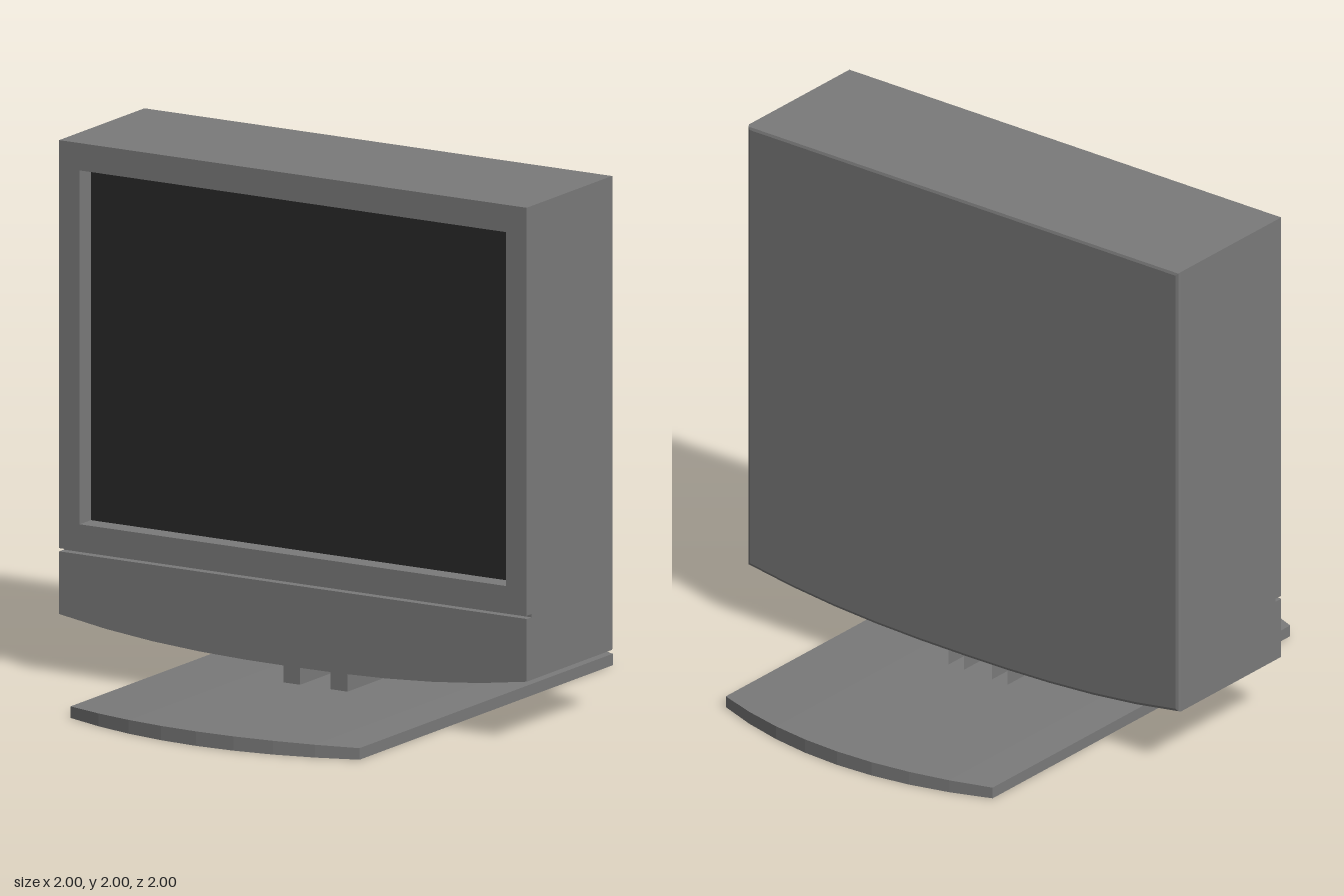
import * as THREE from 'three';

const grey = new THREE.MeshStandardMaterial({ color: 0x7a7a7a, flatShading: true });
const greyOpen = new THREE.MeshStandardMaterial({ color: 0x7a7a7a, flatShading: true, side: THREE.DoubleSide });
const dark = new THREE.MeshStandardMaterial({ color: 0x292929, flatShading: true });

const BACK = -0.265, RECESS = 0.255, GROOVE = 0.303, FRONT = 0.335;
const BEVEL = 0.014, JOIN = RECESS - BEVEL;

function add(group, name, geometry, material = grey) {
  const mesh = new THREE.Mesh(geometry, material);
  mesh.name = name;
  group.add(mesh);
  return mesh;
}

// Extrude a shape between two z planes
function slab(shape, z0, z1) {
  return new THREE.ExtrudeGeometry(shape, { depth: z1 - z0, bevelEnabled: false }).translate(0, 0, z0);
}

// Rectangle corners, counter-clockwise
function rect(x, y0, y1) {
  return [[-x, y0], [x, y0], [x, y1], [-x, y1]].map(p => new THREE.Vector2(...p));
}

// Cabinet outline with a gently bowed lower edge
function bowedOutline(top) {
  const points = [];
  for (let i = 0; i <= 10; i++) {
    const x = -1 + i * 0.2;
    points.push(new THREE.Vector2(x, 0.16 + 0.071 * Math.abs(x) ** 2.5));
  }
  points.push(new THREE.Vector2(1, top), new THREE.Vector2(-1, top));
  return new THREE.Shape(points);
}

export function createModel() {
  const model = new THREE.Group();
  model.name = 'television';

  // Cabinet with softened back edges; its front bevel sits inside the frame
  const cabinet = new THREE.ExtrudeGeometry(bowedOutline(2), {
    depth: JOIN - BACK - BEVEL, bevelThickness: BEVEL, bevelSize: BEVEL, bevelOffset: -BEVEL, bevelSegments: 2,
  }).translate(0, 0, BACK + BEVEL);
  add(model, 'cabinet', cabinet);

  // Screen frame and lower panel, separated by a groove
  const frame = new THREE.Shape(rect(1, 0.477, 2));
  frame.holes.push(new THREE.Path(rect(0.912, 0.577, 1.898).reverse()));
  add(model, 'screenFrame', slab(frame, JOIN, FRONT));
  add(model, 'lowerPanel', slab(bowedOutline(0.465), JOIN, FRONT));
  add(model, 'groove', slab(new THREE.Shape(rect(1, 0.465, 0.477)), JOIN, GROOVE));

  // Recessed screen
  add(model, 'screen', new THREE.PlaneGeometry(1.824, 1.321), dark).position.set(0, 1.2375, RECESS + 0.003);

  // Two support legs, hollow and open at the back
  const leg = new THREE.BoxGeometry(0.072, 0.15, 0.355);
  leg.setIndex([...leg.index.array].slice(0, 30));
  leg.clearGroups();
  for (const side of [-1, 1]) {
    add(model, side < 0 ? 'rightLeg' : 'leftLeg', leg, greyOpen).position.set(side * 0.101, 0.115, 0.003);
  }

  // Foot plate: bowed front and back edges, slightly domed top
  const plate = new THREE.BoxGeometry(1.236, 0.054, 2, 8, 1, 1).translate(0, 0.027, 0);
  const pos = plate.attributes.position;
  for (let i = 0; i < pos.count; i++) {
    const bow = (pos.getX(i) / 0.618) ** 2;
    pos.setZ(i, pos.getZ(i) * (1 - 0.13 * bow));
    if (pos.getY(i) > 0.01) pos.setY(i, 0.054 - 0.011 * bow);
  }
  plate.computeVertexNormals();
  add(model, 'footPlate', plate);

  return model;
}
